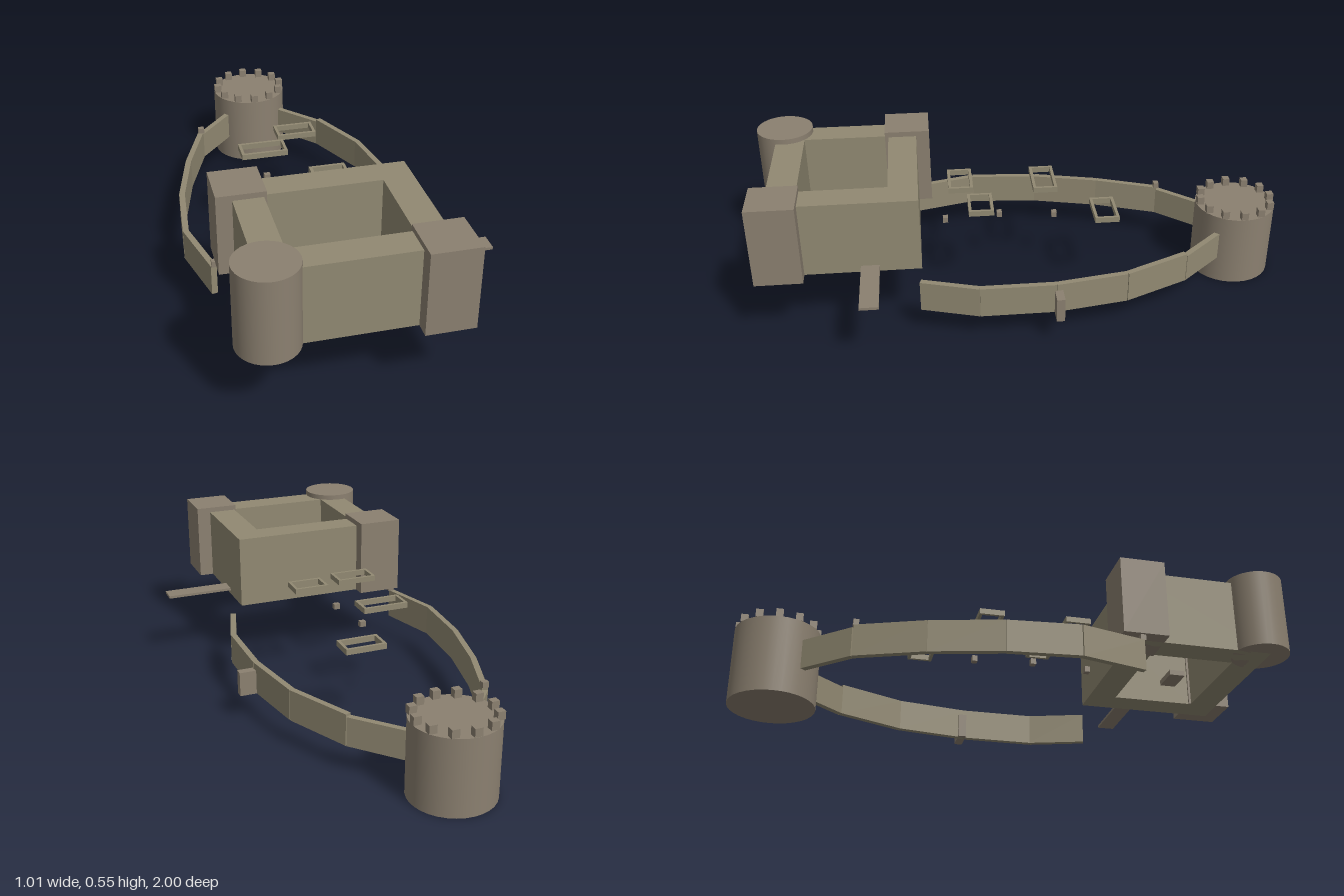
import * as THREE from 'three';

const towerStone = new THREE.MeshStandardMaterial({ color: 0x8b8070 });
const wallStone = new THREE.MeshStandardMaterial({ color: 0x918972 });

export function createModel() {
  const root = new THREE.Group();

  const add = (name, geometry, material, x, y, z) => {
    const mesh = new THREE.Mesh(geometry, material);
    mesh.name = name;
    mesh.position.set(x, y, z);
    root.add(mesh);
    return mesh;
  };

  // Box given by its limits on each axis
  const block = (name, [x0, x1], [y0, y1], [z0, z1], material = towerStone) =>
    add(name, new THREE.BoxGeometry(x1 - x0, y1 - y0, z1 - z0), material,
      (x0 + x1) / 2, (y0 + y1) / 2, (z0 + z1) / 2);

  const roundTower = (name, r, y0, y1, x, z) =>
    add(name, new THREE.CylinderGeometry(r, r, y1 - y0, 32), towerStone, x, (y0 + y1) / 2, z);

  // Rectangular ring lying flat, open in the middle
  const ring = (name, [x0, x1], [y0, y1], [z0, z1], [hx0, hx1], [hz0, hz1], material) => {
    const rect = (P, a, b, c, d) => new P([[a, c], [b, c], [b, d], [a, d]].map(p => new THREE.Vector2(...p)));
    const shape = rect(THREE.Shape, x0, x1, -z1, -z0);
    shape.holes.push(rect(THREE.Path, hx0, hx1, -hz1, -hz0));
    const g = new THREE.ExtrudeGeometry(shape, { depth: y1 - y0, bevelEnabled: false });
    g.rotateX(-Math.PI / 2);
    return add(name, g, material, 0, y0, 0);
  };

  // Upper castle: four walls round an open courtyard
  ring('keepWalls', [-0.375, 0.245], [0.25, 0.53], [0.385, 0.92], [-0.27, 0.137], [0.492, 0.812], wallStone);
  block('backCornerTower', [-0.43, -0.26], [0.25, 0.55], [0.335, 0.505]);
  block('frontCornerTower', [0.13, 0.3], [0.25, 0.55], [0.803, 0.975]);
  roundTower('roundCornerTower', 0.107, 0.25, 0.55, -0.345, 0.891);
  block('drawbridge', [0.24, 0.505], [0.265, 0.275], [0.535, 0.602]);
  block('courtyardSlab', [-0.12, -0.015], [0.25, 0.27], [0.625, 0.685]);

  // Lower tower with its crown of merlons
  const tower = { x: -0.066, z: -0.847, r: 0.153 };
  roundTower('lowerTower', tower.r, 0, 0.28, tower.x, tower.z);
  for (let i = 0; i < 12; i++) {
    const a = (i / 12) * Math.PI * 2;
    add('towerMerlon', new THREE.BoxGeometry(0.028, 0.03, 0.026), towerStone,
      tower.x + 0.138 * Math.cos(a), 0.295, tower.z + 0.138 * Math.sin(a));
  }

  // Curtain walls: straight runs between points, the run next to the tower lower
  const curtain = (name, points) => {
    for (let i = 0; i < points.length - 1; i++) {
      const [ax, az] = points[i], [bx, bz] = points[i + 1];
      const h = i === 0 ? 0.108 : 0.117;
      const run = add(name, new THREE.BoxGeometry(0.022, h, Math.hypot(bx - ax, bz - az)), wallStone,
        (ax + bx) / 2, 0.101 + h / 2, (az + bz) / 2);
      run.rotation.y = Math.atan2(bx - ax, bz - az);
    }
  };
  curtain('leftCurtainWall', [[0.048, -0.758], [0.192, -0.595], [0.3, -0.355], [0.343, -0.09], [0.343, 0.185], [0.28, 0.394]]);
  curtain('rightCurtainWall', [[-0.18, -0.758], [-0.322, -0.595], [-0.41, -0.355], [-0.472, -0.1], [-0.494, 0.16], [-0.432, 0.402]]);
  block('gateBlock', [0.317, 0.413], [0.101, 0.193], [-0.113, -0.083]);

  // Small merlons along and between the walls
  for (const [x, z] of [[-0.428, 0.402], [-0.322, -0.59], [-0.13, 0.288], [-0.152, 0.075], [-0.13, -0.14]])
    block('smallMerlon', [x - 0.012, x + 0.012], [0.218, 0.24], [z - 0.01, z + 0.01]);

  // Hollow house frames inside the enclosure
  const t = 0.011;
  for (const [x0, x1, z0, z1, y] of [
    [-0.057, 0.098, -0.358, -0.266, 0.312],
    [-0.241, -0.065, -0.143, -0.051, 0.362],
    [-0.025, 0.109, 0.113, 0.206, 0.374],
    [-0.253, -0.097, 0.178, 0.272, 0.36],
  ]) ring('houseFrame', [x0, x1], [y, y + 0.021], [z0, z1], [x0 + t, x1 - t], [z0 + t, z1 - t], wallStone);

  return root;
}
